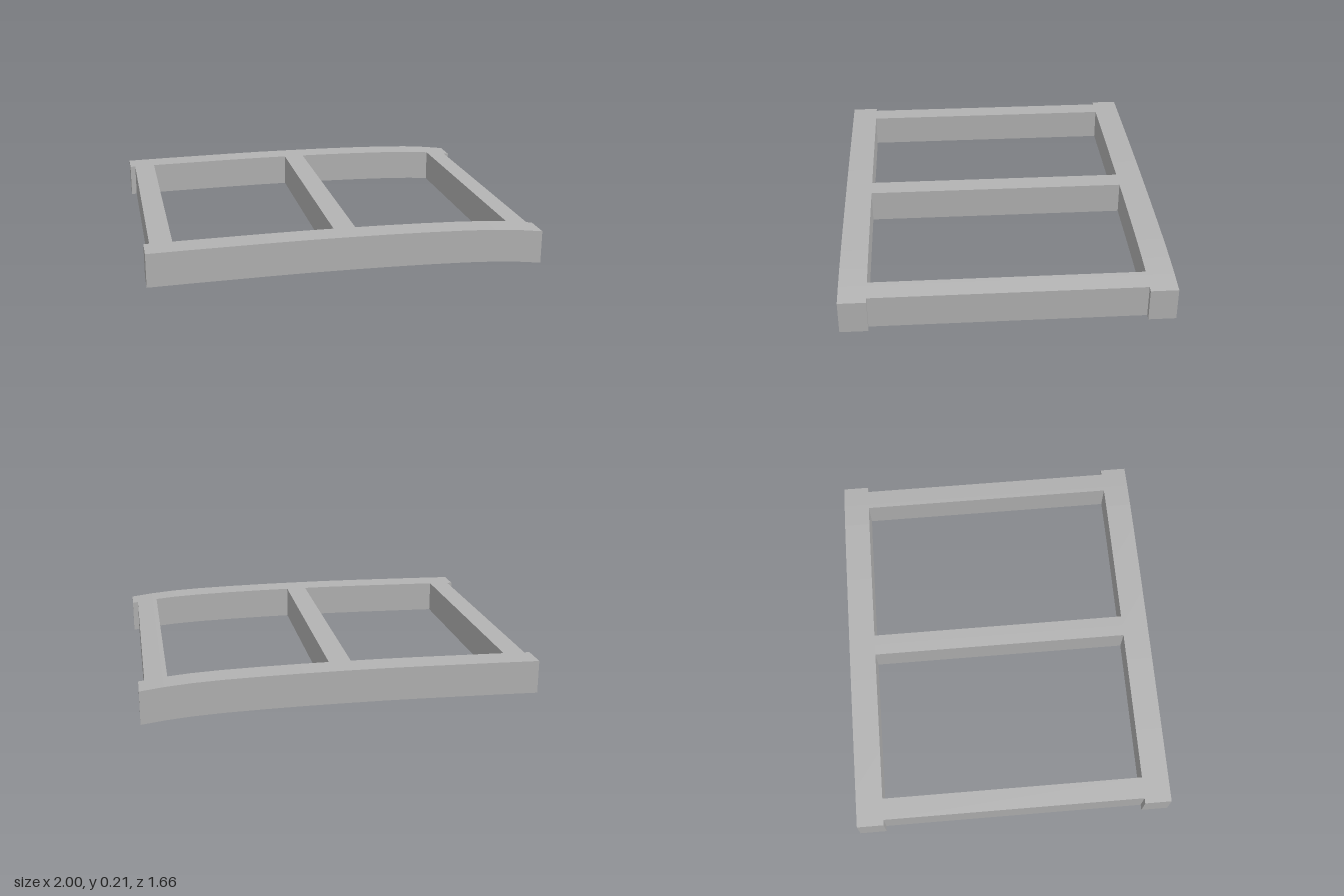
import * as THREE from 'three';

const THICKNESS = 0.171;
const RAIL_INNER = 0.688, RAIL_OUTER = 0.828;

// Upper edge of the gently bowed frame, as x, y
const crown = [
  [-1, 0.201], [-0.8, 0.205], [-0.6, 0.208], [-0.4, 0.211], [-0.2, 0.213], [0, 0.213],
  [0.2, 0.212], [0.4, 0.209], [0.6, 0.204], [0.75, 0.197], [0.88, 0.186], [1, 0.171],
];

function crownHeight(x) {
  const i = Math.max(1, crown.findIndex((p) => p[0] >= x));
  const [x0, y0] = crown[i - 1], [x1, y1] = crown[i];
  return y0 + (y1 - y0) * (x - x0) / (x1 - x0);
}

// Solid strip that follows the bow between two x and two z positions
function bowedBar(name, x0, x1, z0, z1, material) {
  const xs = [x0, ...crown.map((p) => p[0]).filter((x) => x > x0 && x < x1), x1];
  const top = xs.map((x) => new THREE.Vector2(x, crownHeight(x)));
  const bottom = top.map((p) => new THREE.Vector2(p.x, p.y - THICKNESS));
  const shape = new THREE.Shape([...bottom, ...top.reverse()]);
  const geometry = new THREE.ExtrudeGeometry(shape, { depth: z1 - z0, bevelEnabled: false });
  geometry.translate(0, 0, z0);
  const mesh = new THREE.Mesh(geometry, material);
  mesh.name = name;
  return mesh;
}

export function createModel() {
  const group = new THREE.Group();
  group.name = 'bowedFrame';
  const grey = new THREE.MeshStandardMaterial({ color: 0xb3b3b3 });
  grey.name = 'plain grey';

  // Long rails at front and back
  group.add(bowedBar('frontRail', -1, 1, RAIL_INNER, RAIL_OUTER, grey));
  group.add(bowedBar('backRail', -1, 1, -RAIL_OUTER, -RAIL_INNER, grey));

  // Crossbars between the rails
  const bars = [['rightCrossbar', -0.972, -0.86], ['middleCrossbar', -0.057, 0.055], ['leftCrossbar', 0.858, 0.97]];
  for (const [name, x0, x1] of bars) {
    group.add(bowedBar(name, x0, x1, -RAIL_INNER, RAIL_INNER, grey));
  }
  return group;
}
